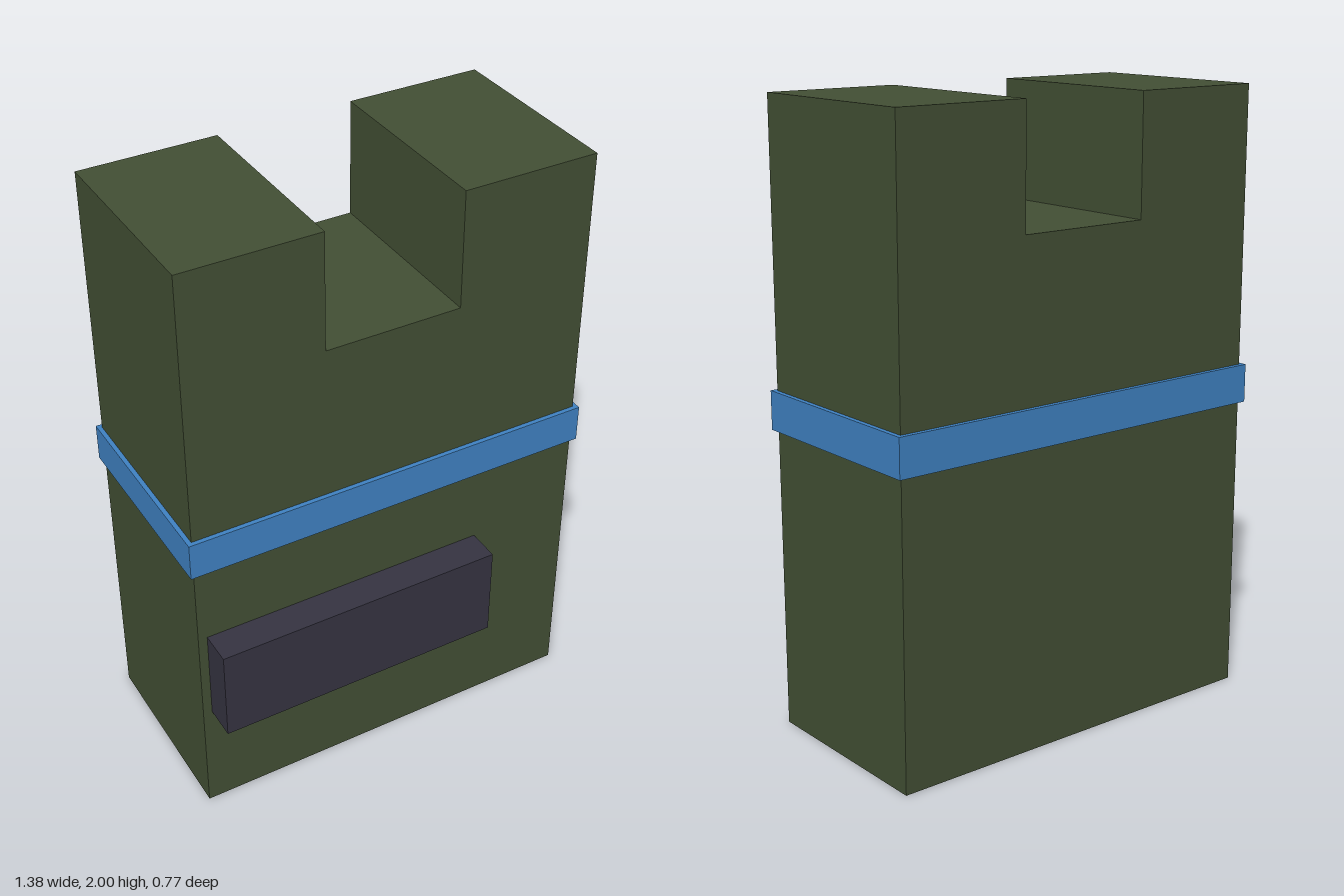
import * as THREE from 'three';

const material = (name, color) => {
  const m = new THREE.MeshStandardMaterial({ color });
  m.name = name;
  return m;
};

// Box given by its lower and upper corners
function block(name, mat, [x0, y0, z0], [x1, y1, z1]) {
  const mesh = new THREE.Mesh(new THREE.BoxGeometry(x1 - x0, y1 - y0, z1 - z0), mat);
  mesh.position.set((x0 + x1) / 2, (y0 + y1) / 2, (z0 + z1) / 2);
  mesh.name = name;
  return mesh;
}

export function createModel() {
  const green = material('olive green', 0x435035);
  const blue = material('belt blue', 0x4083c4);
  const dark = material('dark slate', 0x363442);

  const group = new THREE.Group();
  group.name = 'vest';

  const halfWidth = 0.675, halfNeck = 0.225, neckY = 1.615;
  const back = -0.37, front = 0.275;

  // Torso with a square neck opening between two shoulder straps
  const outline = new THREE.Shape([
    [-halfWidth, 0], [halfWidth, 0], [halfWidth, 2], [halfNeck, 2],
    [halfNeck, neckY], [-halfNeck, neckY], [-halfNeck, 2], [-halfWidth, 2],
  ].map(([x, y]) => new THREE.Vector2(x, y)));
  const torso = new THREE.Mesh(
    new THREE.ExtrudeGeometry(outline, { depth: front - back, bevelEnabled: false }), green);
  torso.position.z = back;
  torso.name = 'torso';
  group.add(torso);

  // Belt wrapped all the way round, slightly proud of the torso
  const rim = 0.015;
  group.add(block('belt', blue,
    [-halfWidth - rim, 0.975, back - rim], [halfWidth + rim, 1.1, front + rim]));

  // Off-centre front pouch
  group.add(block('frontPouch', dark, [-0.645, 0.39, front], [0.32, 0.71, 0.385]));

  return group;
}
